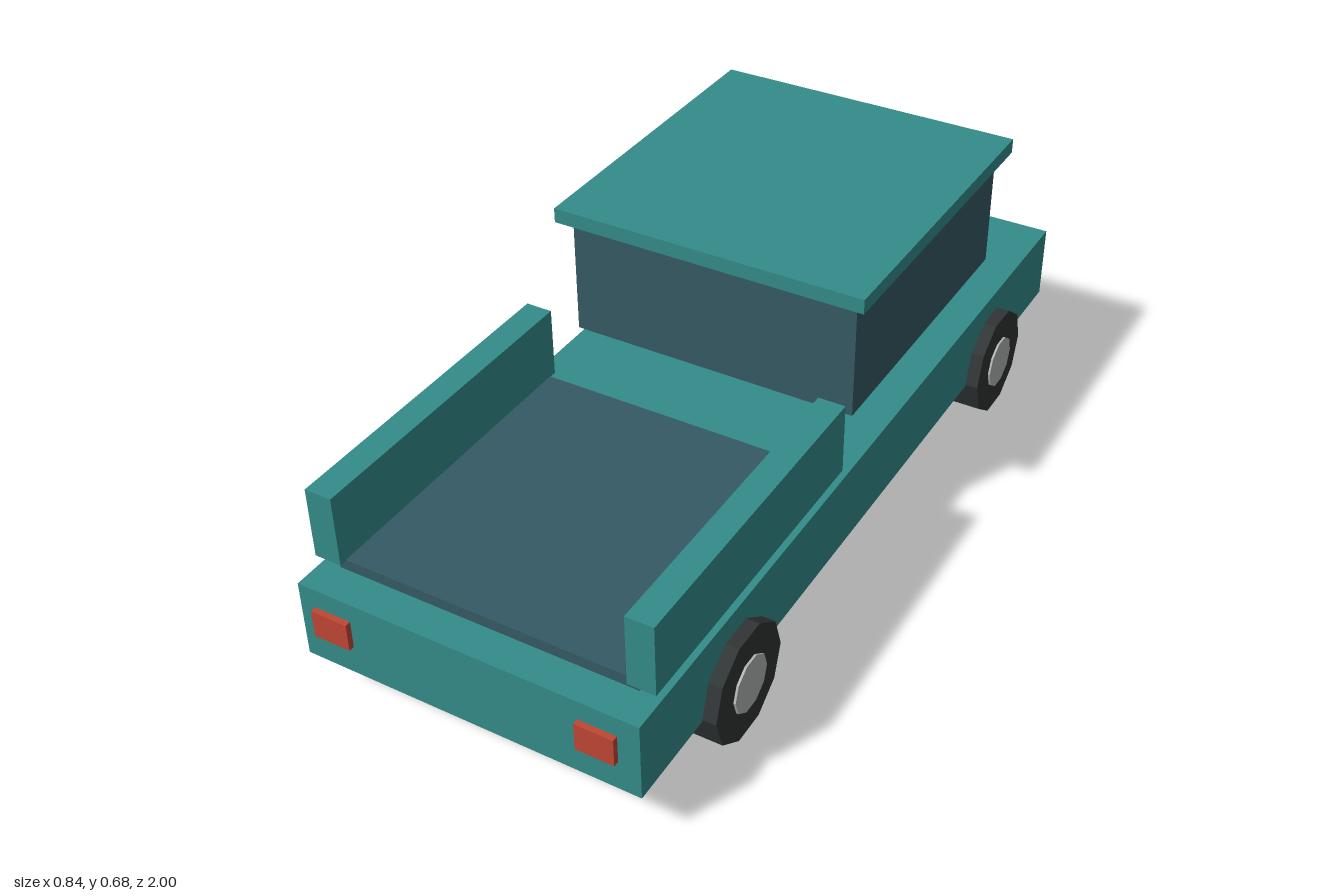
import * as THREE from 'three';

const paint = (name, color) => {
  const m = new THREE.MeshStandardMaterial({ color });
  m.name = name;
  return m;
};

export function createModel() {
  const truck = new THREE.Group();
  truck.name = 'pickupTruck';

  const teal = paint('tealPaint', 0x338c89);
  const glass = paint('darkBlueGrey', 0x355a64);
  const rubber = paint('tyreRubber', 0x303535);
  const metal = paint('greyMetal', 0xb0b4b2);
  const red = paint('tailLightRed', 0xc04734);
  const cream = paint('headlightCream', 0xd6caa8);
  rubber.flatShading = metal.flatShading = true;

  // Box given by its extents on each axis
  const box = (name, mat, [x0, x1], [y0, y1], [z0, z1]) => {
    const mesh = new THREE.Mesh(new THREE.BoxGeometry(x1 - x0, y1 - y0, z1 - z0), mat);
    mesh.position.set((x0 + x1) / 2, (y0 + y1) / 2, (z0 + z1) / 2);
    mesh.name = name;
    truck.add(mesh);
  };

  // Body, cabin and load bed
  box('body', teal, [-0.383, 0.383], [0.119, 0.298], [-0.96, 0.98]);
  box('cabin', glass, [-0.34, 0.34], [0.365, 0.637], [-0.658, 0.059]);
  box('roof', teal, [-0.368, 0.368], [0.644, 0.678], [-0.687, 0.088]);
  box('bedFloor', glass, [-0.338, 0.338], [0.302, 0.327], [0.206, 0.906]);

  // Bumper and grille
  box('bumper', metal, [-0.353, 0.353], [0.13, 0.16], [-1, -0.963]);
  box('grille', glass, [-0.165, 0.165], [0.175, 0.239], [-0.971, -0.963]);

  // Wheel axis along x, with a flat at the bottom
  const wheelPart = (name, mat, radius, x0, x1, z, side) => {
    const geo = new THREE.CylinderGeometry(radius, radius, x1 - x0, 10);
    geo.rotateZ(Math.PI / 2);
    const mesh = new THREE.Mesh(geo, mat);
    mesh.position.set((side * (x0 + x1)) / 2, 0.123, z);
    mesh.name = name;
    truck.add(mesh);
  };

  // Mirrored parts
  for (const side of [-1, 1]) {
    const label = side > 0 ? 'left' : 'right';
    const span = (a, b) => (side > 0 ? [a, b] : [-b, -a]);
    box(label + 'BedSide', teal, span(0.322, 0.383), [0.325, 0.487], [0.187, 0.922]);
    box(label + 'TailLight', red, span(0.256, 0.34), [0.198, 0.262], [0.987, 1]);
    box(label + 'Headlight', cream, span(0.2, 0.348), [0.213, 0.273], [-0.981, -0.965]);
    for (const [end, z] of [['Tail', 0.634], ['Nose', -0.612]]) {
      wheelPart(label + end + 'Tyre', rubber, 0.129, 0.339, 0.413, z, side);
      wheelPart(label + end + 'Hub', metal, 0.063, 0.36, 0.418, z, side);
    }
  }
  return truck;
}
